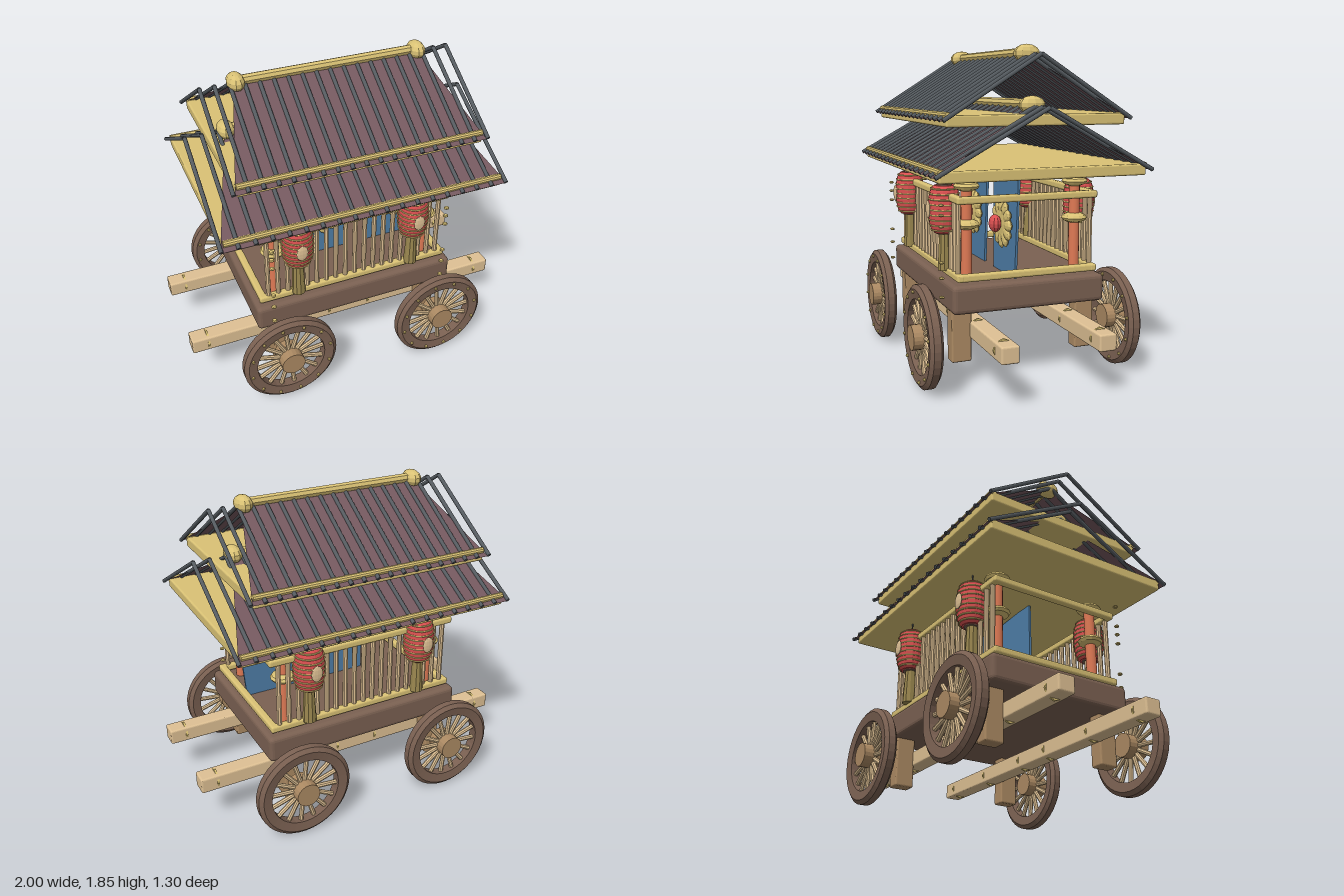
import * as THREE from 'three';
import { RoundedBoxGeometry } from 'three/addons/geometries/RoundedBoxGeometry.js';

const mat = (name, color, flatShading = true, side = THREE.FrontSide) => {
  const m = new THREE.MeshStandardMaterial({ color, flatShading, side });
  m.name = name;
  return m;
};

export function createModel() {
  const root = new THREE.Group();
  root.name = 'festivalCart';
  const darkWood = mat('darkWood', 0x7b6152);
  const paleWood = mat('paleWood', 0xdfc194);
  const midWood = mat('midWood', 0xac8a63);
  const gold = mat('gold', 0xdac275);
  const tile = mat('roofTile', 0x75595f, true, THREE.DoubleSide);
  const iron = mat('iron', 0x565c61, false);
  const blue = mat('blueCloth', 0x4f7fa9, true, THREE.DoubleSide);
  const red = mat('lanternRed', 0xdb5050);
  const vermilion = mat('vermilion', 0xe07a55, false);
  const straw = mat('straw', 0x9a874f);

  const add = (parent, name, geo, m, x = 0, y = 0, z = 0) => {
    const mesh = new THREE.Mesh(geo, m);
    mesh.name = name;
    mesh.position.set(x, y, z);
    parent.add(mesh);
    return mesh;
  };
  const group = (name, x = 0, y = 0, z = 0, parent = root) => {
    const g = new THREE.Group();
    g.name = name;
    g.position.set(x, y, z);
    parent.add(g);
    return g;
  };
  const rbox = (w, h, d, r) => new RoundedBoxGeometry(w, h, d, 2, r);
  const cyl = (r, h, n = 8) => new THREE.CylinderGeometry(r, r, h, n);
  const ball = (rx, ry, rz, w = 10, h = 7) => new THREE.SphereGeometry(1, w, h).scale(rx, ry, rz);
  // Rod between two points
  const rod = (parent, name, a, b, r, m, n = 8) => {
    const va = new THREE.Vector3(...a), vb = new THREE.Vector3(...b);
    const mesh = add(parent, name, cyl(r, va.distanceTo(vb), n), m);
    mesh.position.copy(va).add(vb).multiplyScalar(0.5);
    mesh.quaternion.setFromUnitVectors(new THREE.Vector3(0, 1, 0), vb.sub(va).normalize());
    return mesh;
  };
  const both = [-1, 1];

  // Deck, carrying beams with bands, and legs
  add(root, 'deck', rbox(1.25, 0.157, 0.9, 0.025), darkWood, 0, 0.501, 0);
  for (const s of both) {
    add(root, 'carryingBeam', rbox(2, 0.093, 0.1, 0.01), paleWood, 0, 0.308, s * 0.275);
    for (const x of [-0.9, -0.52, -0.13, 0.13, 0.52, 0.9])
      add(root, 'beamBand', cyl(0.059, 0.012, 8).rotateZ(Math.PI / 2), gold, x, 0.308, s * 0.275);
    for (const t of both)
      add(root, 'leg', rbox(0.085, 0.3, 0.115, 0.01), midWood, t * 0.49, 0.28, s * 0.373);
  }

  // Wheels
  const rimProfile = [[0.207, 0.03], [0.207, -0.03], [0.262, -0.038], [0.285, -0.02],
    [0.285, 0.02], [0.262, 0.038], [0.207, 0.03]].map(p => new THREE.Vector2(...p));
  for (const sx of both) for (const sz of both) {
    const w = group('wheel', sx * 0.487, 0.288, sz * 0.582);
    add(w, 'rim', new THREE.LatheGeometry(rimProfile, 40).rotateX(Math.PI / 2), darkWood);
    add(w, 'hub', cyl(0.07, 0.137, 20).rotateX(Math.PI / 2), midWood);
    for (let i = 0; i < 16; i++) {
      const a = i * Math.PI / 8 + 0.1;
      const spoke = add(w, 'spoke', cyl(0.014, 0.15, 8), paleWood, Math.cos(a) * 0.137, Math.sin(a) * 0.137, 0);
      spoke.rotation.z = a - Math.PI / 2;
    }
    for (let i = 0; i < 12; i++) {
      const a = i * Math.PI / 6 + 0.2;
      add(w, 'rimStud', ball(0.01, 0.01, 0.012, 6, 4), gold, Math.cos(a) * 0.245, Math.sin(a) * 0.245, 0.038);
    }
  }

  // Railing: rails all round, balusters on the long sides
  const railing = group('railing');
  for (const y of [0.613, 1.034]) for (const s of both) {
    add(railing, 'longRail', rbox(1.194, 0.042, 0.042, 0.012), gold, 0, y, s * 0.395);
    add(railing, 'endRail', rbox(0.042, 0.042, 0.826, 0.012), gold, s * 0.575, y, 0);
  }
  for (const s of both) {
    for (let i = 0; i < 19; i++)
      add(railing, 'baluster', cyl(0.015, 0.41, 8), paleWood, -0.54 + i * 0.06, 0.824, s * 0.395);
  }

  // Corner pillars with collars
  for (const sx of both) for (const sz of both) {
    const p = group('pillar', sx * 0.48, 0, sz * 0.326);
    add(p, 'shaft', cyl(0.031, 0.52, 14), vermilion, 0, 0.835, 0);
    for (const y of [0.89, 1.1]) add(p, 'collar', ball(0.074, 0.03, 0.074, 12, 6), gold, 0, y, 0);
  }

  // Small gold studs at the front corners
  for (const s of both) for (const y of [0.51, 0.615, 0.7, 0.895, 0.955, 1.01, 1.14])
    add(root, 'cornerStud', ball(0.017, 0.009, 0.016, 6, 4), gold, s * 0.54, y, 0.488);

  // Hanging lanterns: ribbed barrel, patch, cord and tassel
  const barrelR = t => 0.06 + 0.034 * Math.sqrt(Math.max(0, 1 - t * t));
  const barrel = [new THREE.Vector2(0.001, -0.132)];
  for (let i = 0; i <= 10; i++) barrel.push(new THREE.Vector2(barrelR(i / 5 - 1) - 0.003, -0.132 + i * 0.0264));
  barrel.push(new THREE.Vector2(0.001, 0.132));
  for (const sx of both) for (const sz of both) {
    const l = group('lantern', sx * 0.362, 0.963, sz * 0.414);
    add(l, 'lanternBody', new THREE.LatheGeometry(barrel, 16), red);
    for (let i = 0; i < 9; i++) {
      const t = (i - 4) / 4.6;
      const rib = new THREE.TorusGeometry(barrelR(t) - 0.003, 0.005, 6, 16).rotateX(Math.PI / 2);
      add(l, 'lanternRib', rib, gold, 0, t * 0.132, 0);
    }
    for (const s of both) add(l, 'lanternCap', cyl(0.045, 0.012, 12), darkWood, 0, s * 0.133, 0);
    add(l, 'lanternPatch', ball(0.035, 0.05, 0.009, 12, 6), paleWood, -0.005, 0, sz * 0.093);
    add(l, 'cord', cyl(0.004, 0.08, 5), iron, 0, 0.17, 0);
    add(l, 'tassel', new THREE.CylinderGeometry(0.031, 0.041, 0.21, 10), straw, 0, -0.24, 0);
  }

  // Blue cloth panels with a gold rosette and red boss
  for (const cx of [-0.06, 0.415]) {
    const s = new THREE.Shape();
    s.moveTo(-0.185, 0.58);
    s.lineTo(0.135, 0.58);
    s.quadraticCurveTo(0.165, 0.9, 0.183, 1.145);
    s.quadraticCurveTo(0, 1.15, -0.185, 1.165);
    s.closePath();
    const geo = new THREE.ExtrudeGeometry(s, { depth: 0.014, bevelEnabled: false, curveSegments: 6 });
    add(root, 'clothPanel', geo, blue, cx, 0, 0.057);
    const r = group('rosette', cx - 0.01, 0.87, 0.085);
    add(r, 'rosetteCentre', ball(0.12, 0.12, 0.022, 16, 6), gold);
    for (let i = 0; i < 12; i++) {
      const a = i * Math.PI / 6;
      const petal = add(r, 'petal', ball(0.05, 0.034, 0.018, 8, 6), gold, Math.cos(a) * 0.095, Math.sin(a) * 0.095, 0.005);
      petal.rotation.z = a;
    }
    add(r, 'boss', ball(0.05, 0.05, 0.035, 10, 8), red, 0, 0, 0.045);
  }

  // Two stacked roofs: eave slab, tapering slopes, tile ribs, ridge
  const roof = (name, o) => {
    const g = group(name);
    add(g, 'eaveSlab', rbox(o.slabX * 2, 0.062, o.slabZ * 2, 0.01), gold, 0, o.slabY, 0);
    for (const s of both) {
      const geo = new THREE.BufferGeometry();
      geo.setAttribute('position', new THREE.Float32BufferAttribute([
        -o.eaveX, o.eaveY, s * o.eaveZ, o.eaveX, o.eaveY, s * o.eaveZ,
        o.ridgeX, o.ridgeY, 0, -o.ridgeX, o.ridgeY, 0], 3));
      geo.setIndex(s > 0 ? [0, 1, 2, 0, 2, 3] : [0, 2, 1, 0, 3, 2]);
      geo.computeVertexNormals();
      add(g, 'slope', geo, tile);
      for (let i = 0; i < 19; i++) {
        const x = o.ribX * (i / 9 - 1);
        rod(g, 'tileRib', [x, o.eaveY + 0.003, s * o.eaveZ], [x, o.ridgeY + 0.003, 0], 0.012, iron, 8);
      }
      const ez = o.slabZ - 0.011;
      const ey = o.eaveY + (o.ridgeY - o.eaveY) * (1 - ez / o.eaveZ) + 0.005;
      rod(g, 'eaveRod', [-o.slabX, ey, s * ez], [o.slabX, ey, s * ez], 0.018, gold, 10);
      add(g, 'ridgeEnd', ball(0.05, 0.05, 0.075, 10, 7), gold, s * o.knobX, o.ridgeY + 0.011, 0);
    }
    rod(g, 'ridgeRod', [-o.knobX, o.ridgeY + 0.015, 0], [o.knobX, o.ridgeY + 0.015, 0], 0.028, gold, 8);
  };
  roof('lowerRoof', { slabX: 0.82, slabZ: 0.585, slabY: 1.188, eaveX: 0.845, eaveZ: 0.612, eaveY: 1.186,
    ridgeX: 0.62, ridgeY: 1.523, ribX: 0.84, knobX: 0.613 });
  roof('upperRoof', { slabX: 0.71, slabZ: 0.51, slabY: 1.458, eaveX: 0.725, eaveZ: 0.535, eaveY: 1.459,
    ridgeX: 0.55, ridgeY: 1.796, ribX: 0.733, knobX: 0.537 });

  return root;
}
